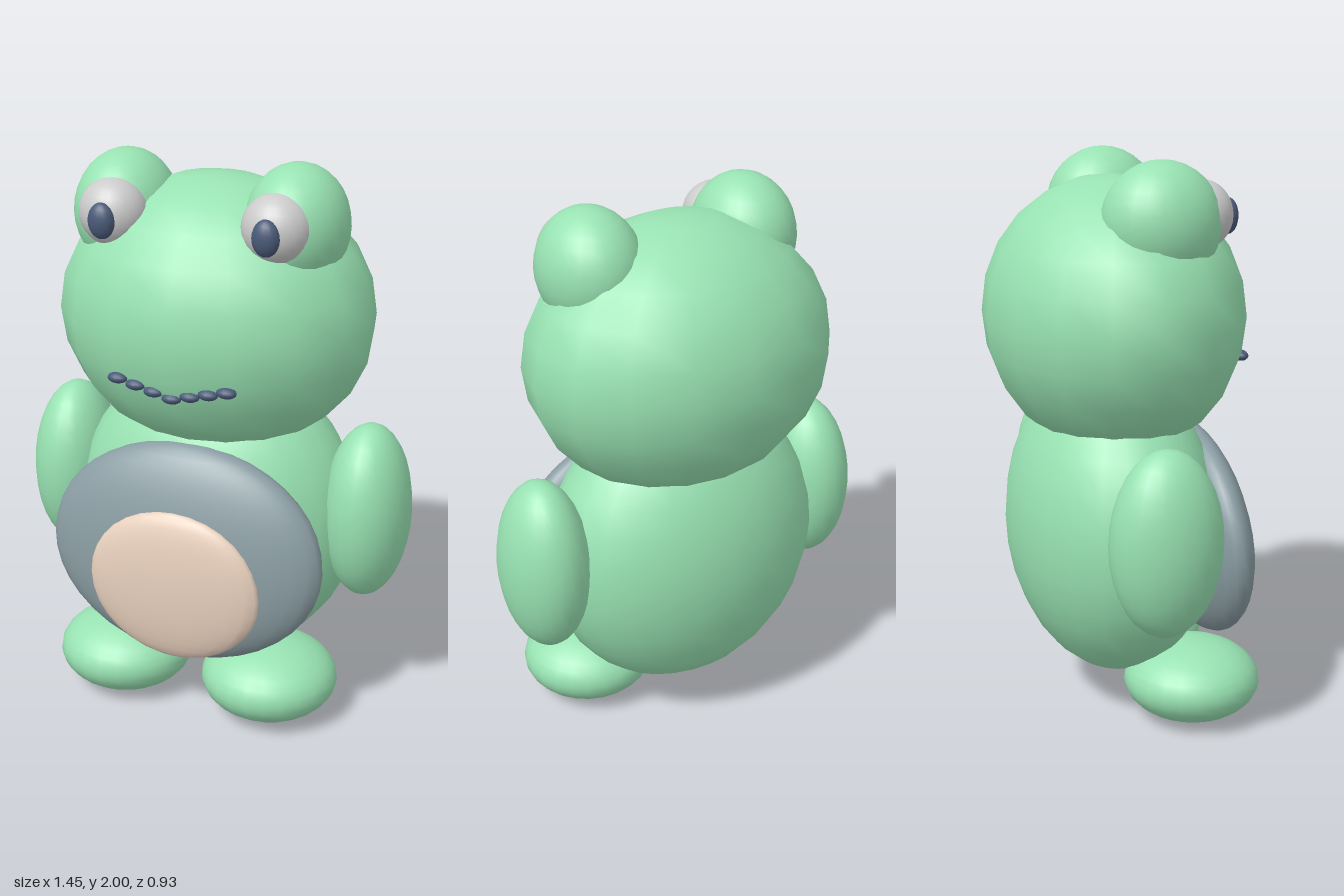
import * as THREE from 'three';

const mat = (color) => new THREE.MeshStandardMaterial({ color });

export function createModel() {
  const group = new THREE.Group();
  const green = mat(0x98e2b2), slate = mat(0x8a9da3), peach = mat(0xe8d0bd);
  const white = mat(0xcccccc), dark = mat(0x4a5a78);

  // Every part is a smooth ellipsoid: position, radii, segment counts
  const blob = (name, material, pos, radii, w = 24, h = 16) => {
    const geo = new THREE.SphereGeometry(1, w, h).scale(...radii);
    const mesh = new THREE.Mesh(geo, material);
    mesh.name = name;
    mesh.position.set(...pos);
    group.add(mesh);
    return mesh;
  };

  // Head and torso
  blob('head', green, [0, 1.44, -0.01], [0.57, 0.49, 0.455], 16, 12);
  blob('body', green, [0, 0.69, -0.02], [0.53, 0.56, 0.37], 24, 16);

  // Belly with a lighter patch
  blob('belly', slate, [0, 0.64, 0.295], [0.51, 0.4, 0.135], 32, 20).rotation.x = -0.09;
  blob('bellyPatch', peach, [0, 0.55, 0.4], [0.32, 0.28, 0.065], 24, 16);

  // Paired parts
  for (const [side, s] of [['left', 1], ['right', -1]]) {
    blob(side + 'Arm', green, [s * 0.57, 0.765, -0.015], [0.155, 0.325, 0.197]);
    blob(side + 'Foot', green, [s * 0.285, 0.147, 0.193], [0.247, 0.143, 0.243]);
    blob(side + 'EyeMound', green, [s * 0.31, 1.79, 0.055], [0.178, 0.21, 0.207]);
    blob(side + 'Eye', white, [s * 0.292, 1.813, 0.2], [0.12, 0.118, 0.11]);
    blob(side + 'Pupil', dark, [s * 0.29, 1.805, 0.3], [0.048, 0.062, 0.035], 16, 12);
  }

  // Smile made of small beads
  for (let i = -3; i <= 3; i++) {
    const x = i * 0.0655;
    blob('mouthBead', dark, [x, 1.253 + 0.0157 * Math.abs(i), 0.4], [0.036, 0.019, 0.025], 12, 8);
  }
  return group;
}
